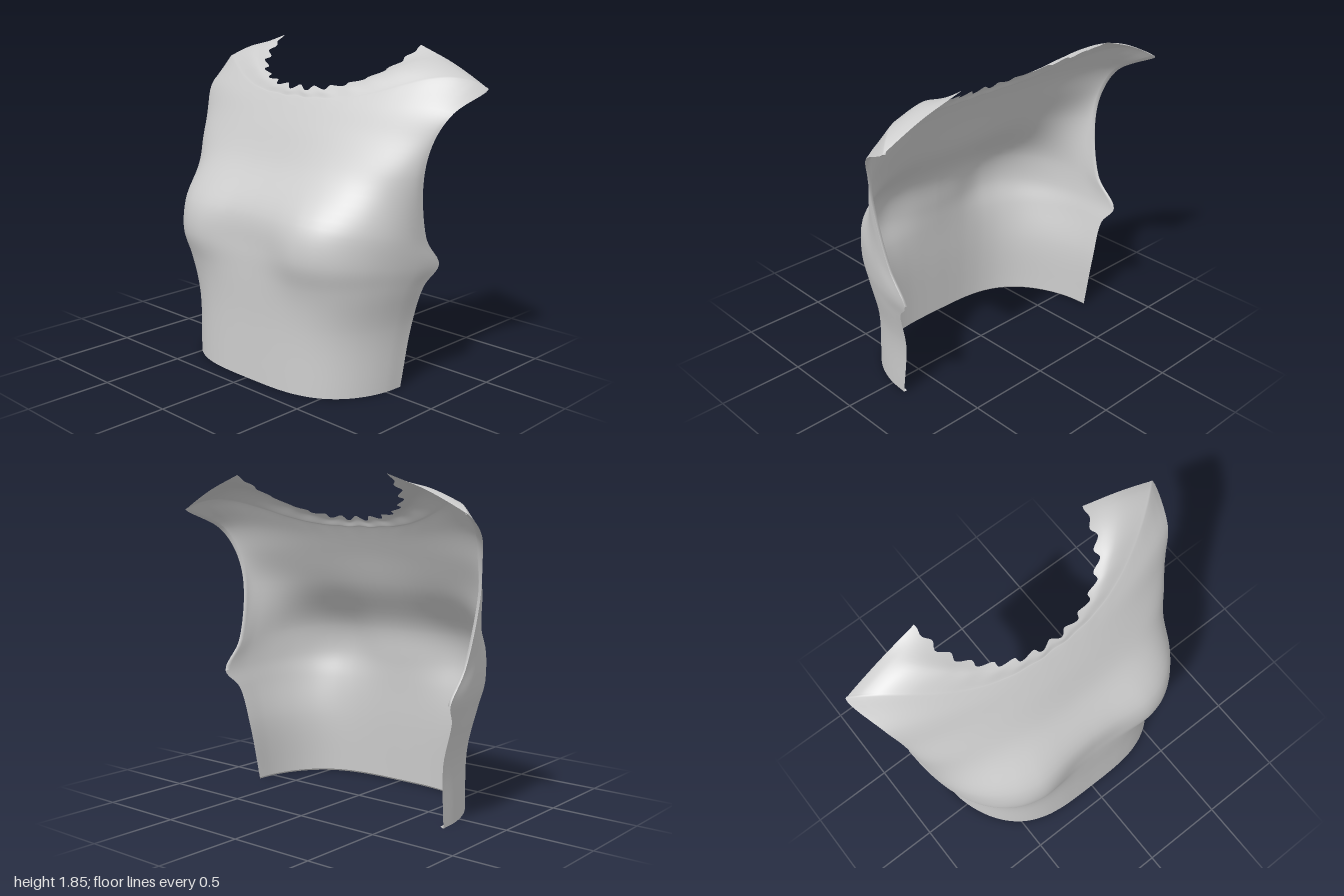
import * as THREE from 'three';

// Cross-sections from hem to neckline: centre y, z; outer edge x, y, z;
// roundness n and power p of the curve between them; hump of the shoulder
const SECTIONS = [
  [0, 0.40, 0.70, 0, -0.11, 3.5, 0.5, 0],
  [0.35, 0.39, 0.72, 0.35, -0.17, 3.6, 0.5, 0],
  [0.60, 0.39, 0.775, 0.58, -0.20, 4.2, 0.5, 0],
  [0.76, 0.385, 0.81, 0.69, -0.285, 5, 0.5, 0],
  [0.96, 0.36, 0.81, 0.86, -0.17, 4.2, 0.5, 0],
  [1.20, 0.20, 0.84, 1.20, -0.09, 2.7, 0.6, 0],
  [1.40, 0.10, 0.88, 1.40, -0.115, 2.1, 0.8, 0.1],
  [1.51, 0.04, 0.94, 1.54, -0.19, 2.1, 1, 0.4],
  [1.56, 0.01, 1.0, 1.65, -0.40, 2.3, 1, 1.1],
  [1.565, 0.006, 0.975, 1.665, -0.403, 2.3, 1, 1.1],
  [1.59, -0.005, 0.77, 1.765, -0.415, 2.4, 1, 0.9],
  [1.61, -0.02, 0.53, 1.85, -0.43, 2.2, 0.5, 0],
];
const COLS = 208, ROWS = 66, SCALLOPS = 14, STEPS = 9;
const UNDERARM = 18, TIP = 48; // rows where the armhole starts and ends

// One section from right to left; the right side seam sits a little wider and further back
function sectionCurve([cy, cz, ex, ey, ez, n, p, hump]) {
  const points = [];
  for (let i = -STEPS; i <= STEPS; i++) {
    const t = Math.sin((Math.abs(i) / STEPS) * Math.PI / 2);
    const f = Math.max(0, 1 - t ** n) ** p;
    const point = new THREE.Vector3(
      Math.sign(i) * t * ex,
      ey + (cy - ey) * f + hump * t ** 4 * (1 - t),
      ez + (cz - ez) * f,
    );
    if (i < 0) {
      point.x -= 0.03 * THREE.MathUtils.clamp((1.55 - point.y) / 0.25, 0, 1) * t * t;
      point.z -= 0.08 * Math.sqrt(Math.max(0, 1 - point.y / 0.72)) * t ** 4;
    }
    points.push(point);
  }
  return new THREE.CatmullRomCurve3(points);
}

// Forward swell of the bust: tighter below and toward the centre, wide above and outward
function bust({ x, y }) {
  const ax = Math.abs(x);
  const dx = (ax - 0.4) / (ax < 0.4 ? 0.2 : 0.28);
  const dy = (y - 0.8) / (y < 0.8 ? 0.17 : 0.28);
  return 0.05 * Math.exp(-dx * dx - dy * dy);
}

// Triangulated sheet from a grid of points
function sheet(grid) {
  const n = grid[0].length, index = [];
  for (let r = 0; r < grid.length - 1; r++) {
    for (let c = 0; c < n - 1; c++) {
      const a = r * n + c, b = a + n;
      index.push(a, a + 1, b, a + 1, b + 1, b);
    }
  }
  const g = new THREE.BufferGeometry().setFromPoints(grid.flat());
  g.setIndex(index);
  g.computeVertexNormals();
  return g;
}

export function createModel() {
  const model = new THREE.Group();
  model.name = 'topFrontPanel';
  const material = new THREE.MeshStandardMaterial({ color: 0xcccccc, side: THREE.DoubleSide });
  const add = (name, grid) => {
    const mesh = new THREE.Mesh(sheet(grid), material);
    mesh.name = name;
    model.add(mesh);
  };

  // Front panel: sections lofted upward
  const sections = SECTIONS.map(sectionCurve);
  const grid = Array.from({ length: ROWS + 1 }, () => []);
  for (let c = 0; c <= COLS; c++) {
    const u = c / COLS;
    const column = new THREE.CatmullRomCurve3(sections.map(s => s.getPointAt(u)));
    const end = column.getPoint(1);
    const up = end.clone().sub(column.getPoint(0.97)).normalize();
    // Scalloped neckline, fading out below the edge and at the shoulders
    const fade = Math.min(1, 12 * u, 12 * (1 - u));
    const wave = 0.018 * fade * Math.cos(2 * Math.PI * SCALLOPS * (u - 0.5));
    for (let r = 0; r <= ROWS; r++) {
      const p = column.getPoint(r / ROWS);
      p.z += bust(p);
      p.addScaledVector(up, wave * Math.exp(-p.distanceTo(end) / 0.04));
      grid[r].push(p);
    }
  }
  add('frontPanel', grid);

  // Narrow hem turned in along the bottom
  const hem = grid[0].map(p => new THREE.Vector3(p.x * 0.985, 0.012, p.z - 0.012));
  add('bottomHem', [hem, grid[0]]);

  // Narrow facing turned in behind each armhole
  const armholeRows = grid.slice(UNDERARM, TIP + 1);
  for (const side of [-1, 1]) {
    const strip = armholeRows.map(row => {
      const edge = row.at(side > 0 ? -1 : 0);
      const inner = row.at(side > 0 ? -4 : 3);
      const fold = edge.clone().add(new THREE.Vector3(-side * 0.012, 0, -0.008));
      const back = inner.clone().add(new THREE.Vector3(-side * 0.012, 0, -0.012));
      return side > 0 ? [edge, fold, back] : [back, fold, edge];
    });
    add(side > 0 ? 'leftArmholeFacing' : 'rightArmholeFacing', strip);
  }
  return model;
}
